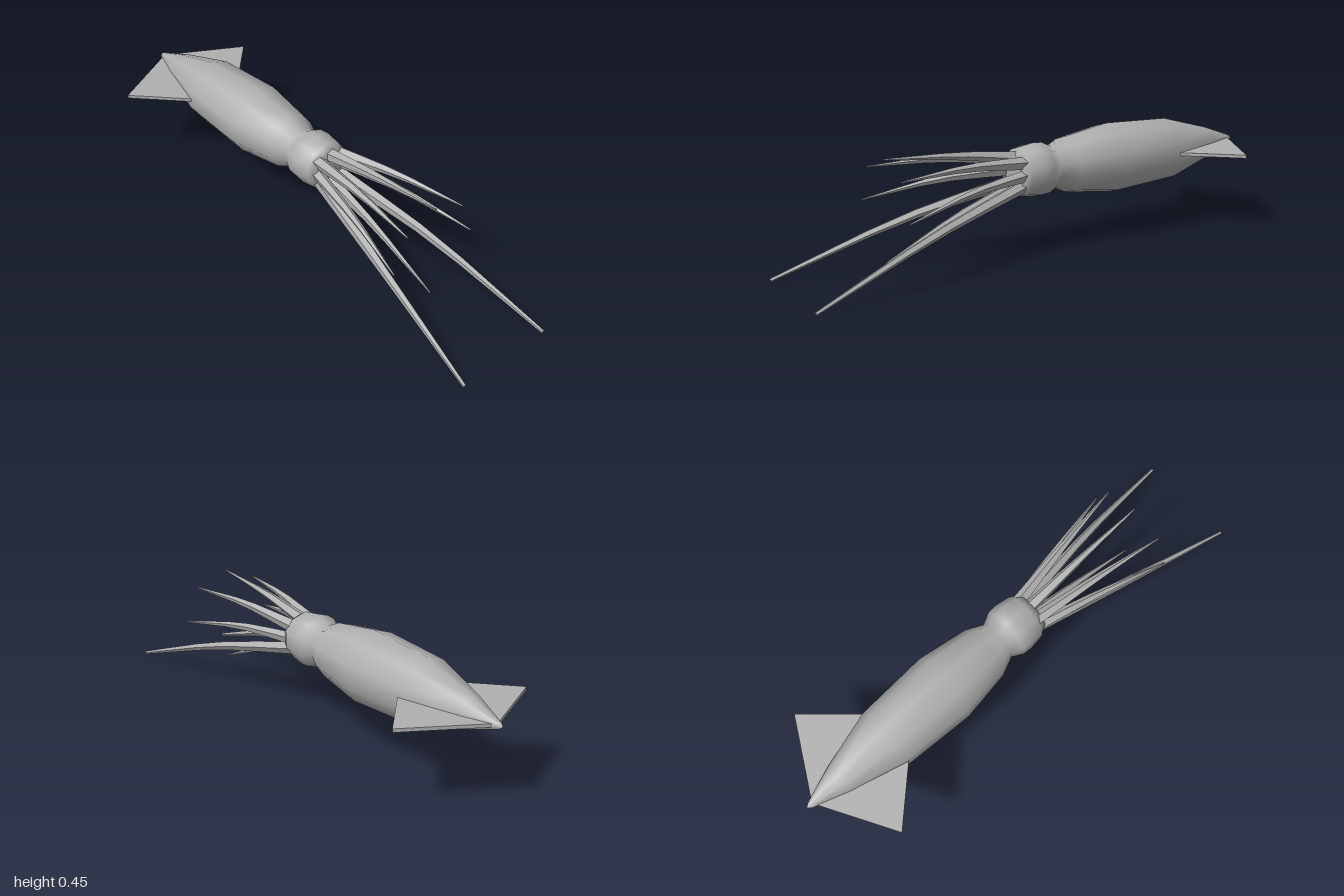
import * as THREE from 'three';

const AXIS_Y = 0.315; // height of the body's long axis

// Tapered five-sided arm along a curve, with a closed tip and faceted sides
function armGeometry(points, baseR, tipR) {
  const curve = new THREE.CatmullRomCurve3(points.map(p => new THREE.Vector3(...p)));
  const rings = 6, sides = 5;
  const geo = new THREE.TubeGeometry(curve, rings, 1, sides, false);
  const pos = geo.attributes.position, v = new THREE.Vector3();
  for (let i = 0; i <= rings; i++) {
    const from = curve.getPointAt(i / rings);
    const t = Math.min(i / (rings - 1), 1);
    const to = curve.getPointAt(t);
    const r = i === rings ? 0 : THREE.MathUtils.lerp(baseR, tipR, t);
    for (let j = 0; j <= sides; j++) {
      const k = i * (sides + 1) + j;
      v.fromBufferAttribute(pos, k).sub(from).multiplyScalar(r).add(to);
      pos.setXYZ(k, v.x, v.y, v.z);
    }
  }
  const flat = geo.toNonIndexed();
  flat.computeVertexNormals();
  return flat;
}

export function createModel() {
  const group = new THREE.Group();
  const skin = new THREE.MeshStandardMaterial({ color: 0xb0b0b0 });
  skin.name = 'grey skin';
  const add = (name, geo) => {
    const mesh = new THREE.Mesh(geo, skin);
    mesh.name = name;
    group.add(mesh);
    return mesh;
  };

  // Ten-sided smooth mantle and head in one profile: radius, z
  const profile = [
    [0, -1], [0.012, -0.985], [0.062, -0.85], [0.125, -0.63], [0.14, -0.34],
    [0.11, -0.14], [0.08, -0.075], [0.102, -0.03], [0.105, 0.01],
    [0.096, 0.07], [0.08, 0.098], [0, 0.102],
  ].map(p => new THREE.Vector2(...p));
  const body = new THREE.LatheGeometry(profile, 10);
  body.rotateX(Math.PI / 2);
  add('mantleAndHead', body).position.y = AXIS_Y;

  // Flat triangular tail fins
  for (const side of [1, -1]) {
    const shape = new THREE.Shape([[0, 0.975], [0.298, 0.81], [0.1, 0.6], [0, 0.6]]
      .map(([x, y]) => new THREE.Vector2(x * side, y)));
    const fin = new THREE.ExtrudeGeometry(shape, { depth: 0.013, bevelEnabled: false });
    fin.rotateX(-Math.PI / 2);
    add(side > 0 ? 'leftFin' : 'rightFin', fin).position.y = 0.308;
  }

  // Single arms on the centre line
  add('topArm', armGeometry([[0, 0.372, 0.08], [0, 0.412, 0.33], [0, 0.439, 0.635]], 0.026, 0.003));
  add('bottomArm', armGeometry([[0, 0.268, 0.08], [0, 0.19, 0.33], [0, 0.06, 0.635]], 0.024, 0.003));

  // Paired arms and the two long tentacles
  const pairs = [
    ['UpperArm', [[0.048, 0.358, 0.08], [0.09, 0.386, 0.35], [0.134, 0.386, 0.635]], 0.026, 0.003],
    ['SideArm', [[0.058, 0.313, 0.08], [0.122, 0.3, 0.35], [0.189, 0.25, 0.635]], 0.024, 0.003],
    ['Tentacle', [[0.045, 0.272, 0.08], [0.125, 0.172, 0.5], [0.199, 0.007, 0.998]], 0.026, 0.007],
  ];
  for (const side of [1, -1]) {
    for (const [name, pts, baseR, tipR] of pairs) {
      const mirrored = pts.map(([x, y, z]) => [x * side, y, z]);
      add((side > 0 ? 'left' : 'right') + name, armGeometry(mirrored, baseR, tipR));
    }
  }
  return group;
}
